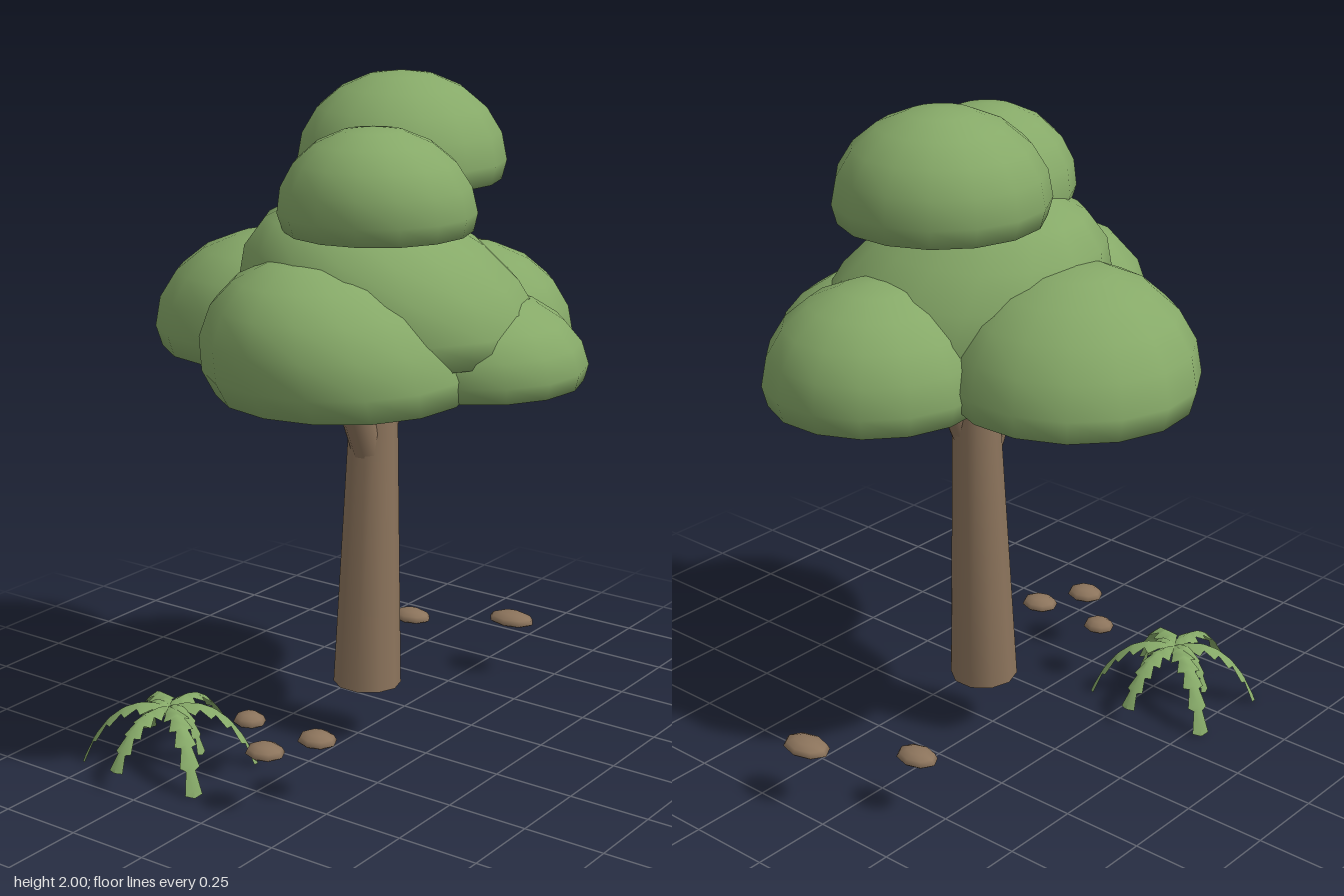
import * as THREE from 'three';
import { mergeVertices } from 'three/addons/utils/BufferGeometryUtils.js';

const leafGreen = new THREE.MeshStandardMaterial({ color: 0x86a968, side: THREE.DoubleSide });
leafGreen.name = 'leaf green';
const barkBrown = new THREE.MeshStandardMaterial({ color: 0x8c745c });
barkBrown.name = 'bark brown';

const GROUND = 0.176;

function addMesh(parent, name, geometry, material) {
  const mesh = new THREE.Mesh(geometry, material);
  mesh.name = name;
  parent.add(mesh);
  return mesh;
}

// Rounded cap with a flat underside: a sphere clamped just below its equator, its top leaning sideways
function domeGeometry(rx, rz, height, leanX = 0, leanZ = 0, cols = 15, rows = 10) {
  const cut = -0.22;
  let geo = new THREE.SphereGeometry(1, cols, rows);
  geo.deleteAttribute('uv');
  geo.deleteAttribute('normal');
  const p = geo.attributes.position;
  for (let i = 0; i < p.count; i++) {
    const h = (Math.max(p.getY(i), cut) - cut) / (1 - cut);
    p.setXYZ(i, p.getX(i) * rx + leanX * h, h * height, p.getZ(i) * rz + leanZ * h);
  }
  geo = mergeVertices(geo, 1e-5);
  geo.computeVertexNormals();
  return geo;
}

// Tapered round limb between two points
function limb(parent, name, from, to, r0, r1) {
  const a = new THREE.Vector3(...from), b = new THREE.Vector3(...to);
  const dir = b.clone().sub(a);
  const mesh = addMesh(parent, name, new THREE.CylinderGeometry(r1, r0, dir.length(), 10), barkBrown);
  mesh.position.copy(a).add(b).multiplyScalar(0.5);
  mesh.quaternion.setFromUnitVectors(new THREE.Vector3(0, 1, 0), dir.normalize());
}

// Arching frond with saw-toothed, drooping edges, growing along +x
function frondGeometry(length, tipY, width, teeth) {
  const curve = new THREE.CubicBezierCurve3(
    new THREE.Vector3(0, 0.18, 0), new THREE.Vector3(length * 0.35, 0.22, 0),
    new THREE.Vector3(length * 0.75, 0.18, 0), new THREE.Vector3(length, tipY, 0));
  const pos = [], idx = [];
  const station = (t, half) => {
    const c = curve.getPoint(t), edgeY = c.y - half * 0.6;
    pos.push(c.x, edgeY, -half, c.x, c.y, 0, c.x, edgeY, half);
  };
  for (let i = 0; i < teeth; i++) {
    const taper = 1 - 0.5 * (i / teeth);
    station(i / teeth, width * 0.55 * taper);
    station((i + 0.75) / teeth, width * taper);
  }
  station(1, 0.001);
  for (let s = 0; s < teeth * 2; s++) {
    for (const k of [0, 1]) {
      const a = s * 3 + k, b = a + 1, c = a + 3, d = a + 4;
      idx.push(a, b, c, b, d, c);
    }
  }
  const geo = new THREE.BufferGeometry();
  geo.setAttribute('position', new THREE.Float32BufferAttribute(pos, 3));
  geo.setIndex(idx);
  geo.computeVertexNormals();
  return geo;
}

export function createModel() {
  const model = new THREE.Group();
  model.name = 'tree';

  // Trunk and forked branches
  limb(model, 'trunk', [0.012, GROUND, 0.025], [0.053, 1.28, 0.025], 0.102, 0.062);
  limb(model, 'rightBranch', [0.015, 0.9, 0.03], [-0.115, 1.28, 0.0], 0.05, 0.055);
  limb(model, 'leftBranch', [0.065, 0.99, 0.045], [0.15, 1.28, 0.09], 0.045, 0.055);

  // Canopy: name, x, z, radius x, radius z, base, top, lean x, lean z
  const canopy = new THREE.Group();
  canopy.name = 'canopy';
  model.add(canopy);
  const domes = [
    ['topLeftFoliage', 0.2, 0.013, 0.307, 0.305, 1.69, 2.0, 0.01, -0.01],
    ['topRightFoliage', -0.155, 0.18, 0.28, 0.275, 1.61, 1.9, -0.04, 0.01],
    ['middleFoliage', 0.01, 0.16, 0.41, 0.42, 1.26, 1.695, -0.13, -0.13],
    ['rightFoliage', -0.24, 0.12, 0.375, 0.375, 1.16, 1.55, -0.09, -0.05],
    ['leftFoliage', 0.325, 0.15, 0.335, 0.325, 1.16, 1.5, 0, 0],
    ['frontFoliage', 0.1, 0.34, 0.32, 0.328, 1.16, 1.43, -0.04, 0],
    ['backFoliage', 0.015, -0.305, 0.36, 0.365, 1.185, 1.545, -0.06, 0.04],
  ];
  domes.forEach(([name, x, z, rx, rz, base, top, lx, lz]) => {
    addMesh(canopy, name, domeGeometry(rx, rz, top - base, lx, lz), leafGreen).position.set(x, base, z);
  });

  // Pebbles: x, z, radius x, radius z
  const pebbles = [
    [0.52, -0.16, 0.05, 0.068], [0.687, 0.12, 0.055, 0.08],
    [-0.585, 0.1, 0.052, 0.06], [-0.435, 0.17, 0.052, 0.06], [-0.44, -0.07, 0.045, 0.05],
  ];
  pebbles.forEach(([x, z, rx, rz], i) => {
    addMesh(model, 'pebble' + (i + 1), domeGeometry(rx, rz, 0.035, 0, 0, 8, 6), barkBrown)
      .position.set(x, GROUND, z);
  });

  // Fern: angle in degrees, length, tip height, half width
  const fern = new THREE.Group();
  fern.name = 'fern';
  fern.position.set(-0.495, 0, -0.33);
  model.add(fern);
  const fronds = [
    [0, 0.245, 0.06, 0.042], [180, 0.245, 0.06, 0.042],
    [56, 0.26, 0.003, 0.044], [124, 0.26, 0.003, 0.044],
    [236, 0.26, 0.003, 0.044], [304, 0.26, 0.003, 0.044],
    [90, 0.125, 0.06, 0.03], [270, 0.125, 0.06, 0.03],
  ];
  fronds.forEach(([angle, length, tipY, width], i) => {
    addMesh(fern, 'frond' + (i + 1), frondGeometry(length, tipY, width, 6), leafGreen)
      .rotation.y = THREE.MathUtils.degToRad(angle);
  });

  return model;
}
